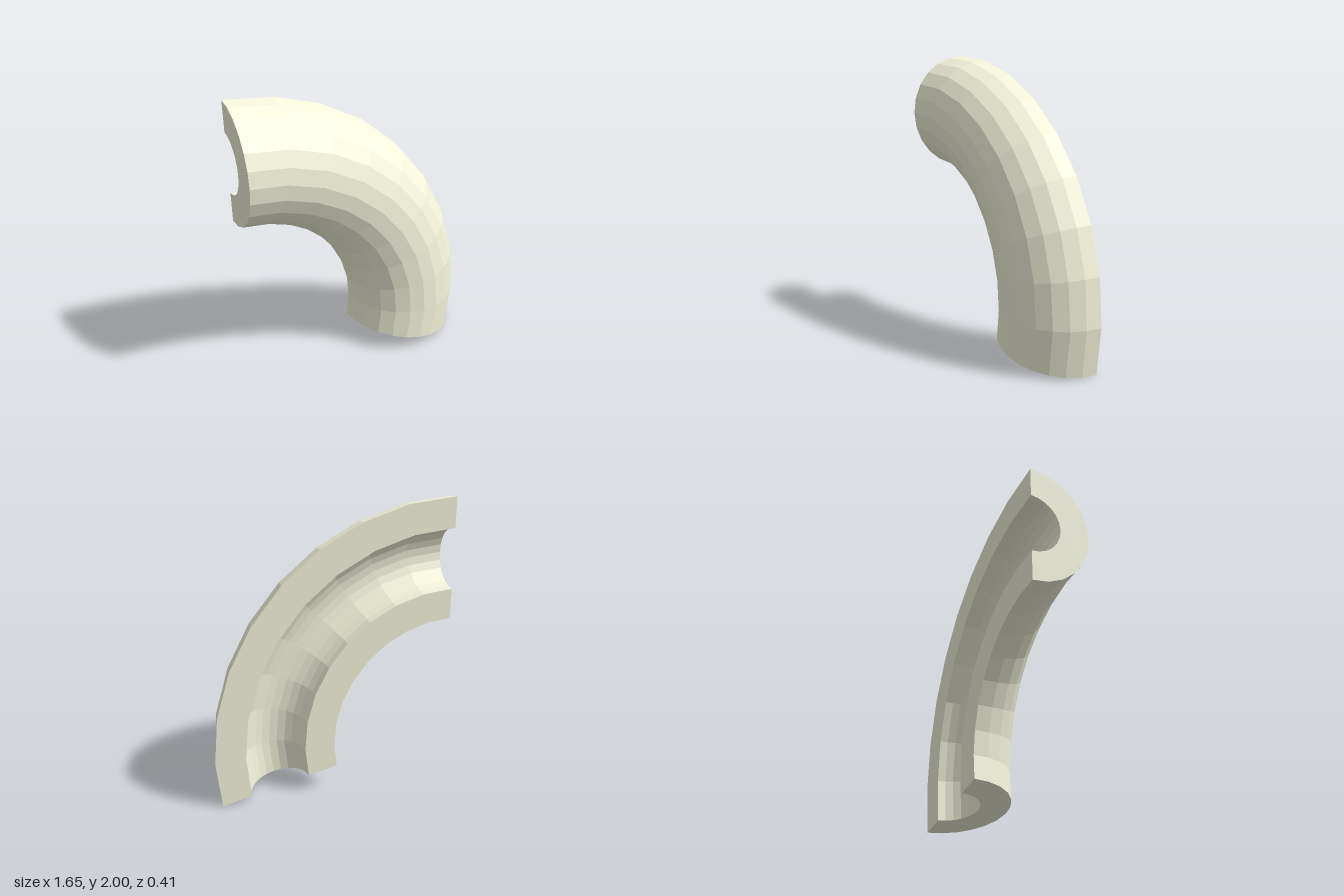
import * as THREE from 'three';

const BEND_RADIUS = 1.2375, OUTER = 0.4125, INNER = 0.206;
const SWEEP = THREE.MathUtils.degToRad(102.24);
const BEND_STEPS = 9, ARC_STEPS = 12;

// Half-ring cross-section, counter-clockwise, in (distance from bend axis, depth)
function halfRing() {
  const points = [];
  const arc = (radius, from, to) => {
    for (let i = 0; i <= ARC_STEPS; i++) {
      const a = from + (to - from) * i / ARC_STEPS;
      points.push(new THREE.Vector2(BEND_RADIUS + radius * Math.cos(a), radius * Math.sin(a)));
    }
  };
  arc(OUTER, 0, Math.PI);
  arc(INNER, Math.PI, 0);
  return points;
}

export function createModel() {
  const group = new THREE.Group();
  group.name = 'halfPipeElbow';
  const material = new THREE.MeshStandardMaterial({ color: 0xf5f5dc, flatShading: true });
  const profile = halfRing();
  const start = Math.PI - SWEEP;

  const add = (name, geometry) => {
    // Turn the bend axis to face the front, then set the elbow in place
    const faceted = geometry.toNonIndexed();
    faceted.rotateX(Math.PI / 2);
    faceted.translate(-0.825, 0.35, -0.206);
    faceted.computeVertexNormals();
    const mesh = new THREE.Mesh(faceted, material);
    mesh.name = name;
    group.add(mesh);
  };

  // Curved outside, bore and flat cut faces
  add('pipeWall', new THREE.LatheGeometry([...profile, profile[0].clone()], BEND_STEPS, start, SWEEP));

  // Flat ends of the pipe
  const endCap = (phi, flip) => {
    const cap = new THREE.ShapeGeometry(new THREE.Shape(profile));
    if (flip) cap.setIndex(Array.from(cap.index.array).reverse());
    return cap.rotateY(phi - Math.PI / 2);
  };
  add('lowerEnd', endCap(start, false));
  add('upperEnd', endCap(Math.PI, true));

  return group;
}
